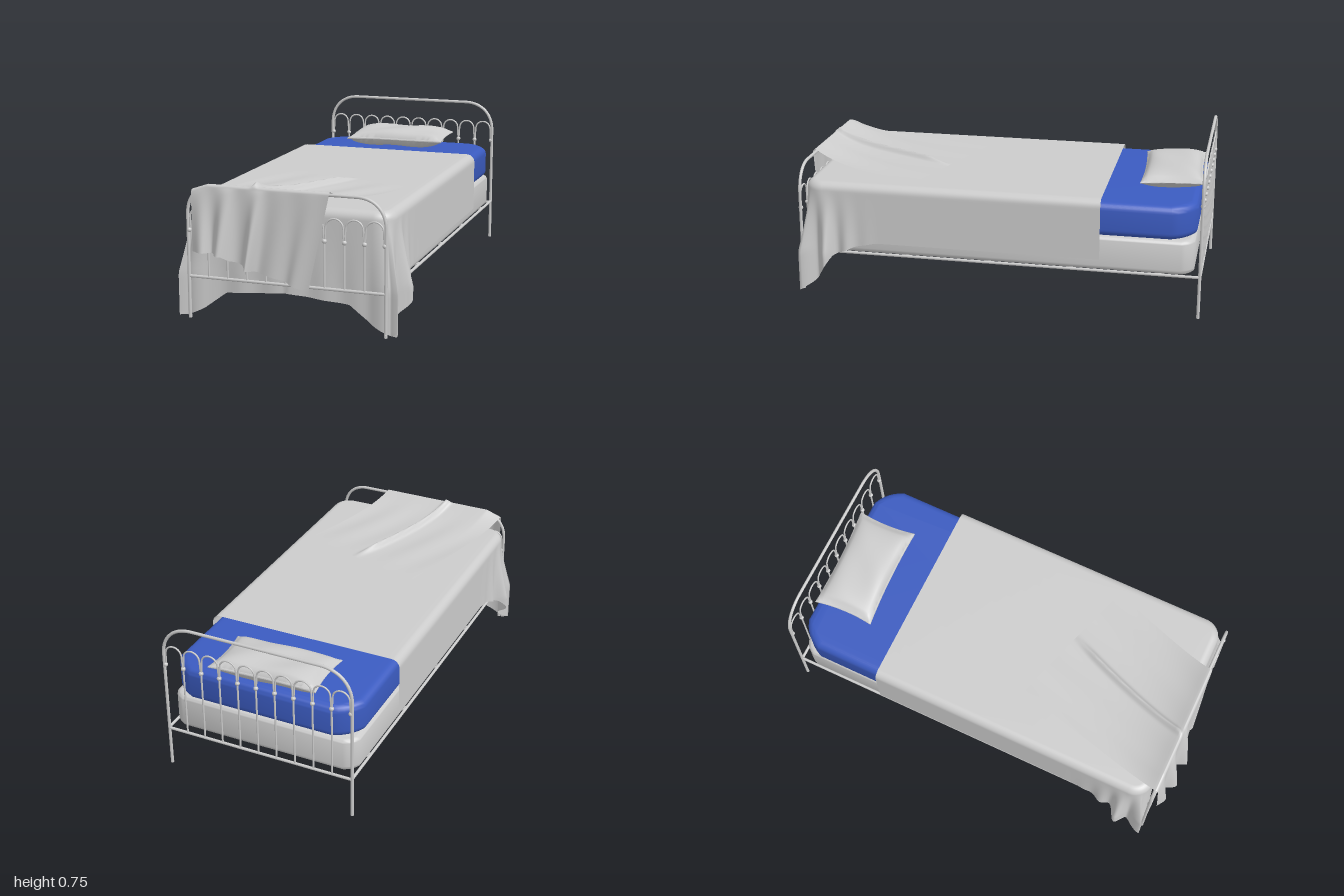
import * as THREE from 'three';
import { mergeVertices, toCreasedNormals } from 'three/addons/utils/BufferGeometryUtils.js';

const grey = new THREE.MeshStandardMaterial({ color: 0xcccccc });
const cloth = new THREE.MeshStandardMaterial({ color: 0xcccccc, side: THREE.DoubleSide });
const blue = new THREE.MeshStandardMaterial({ color: 0x3b5bc0 });
const V = (x, y, z) => new THREE.Vector3(x, y, z);
const lerp = THREE.MathUtils.lerp;
const bump = (x, w) => Math.exp(-(x * x) / (w * w));

function add(parent, name, geometry, material = grey) {
  const mesh = new THREE.Mesh(geometry, material);
  mesh.name = name;
  parent.add(mesh);
  return mesh;
}

// Piecewise linear lookup in [[x, y], ...]
function ramp(points, x) {
  for (let i = 1; i < points.length; i++) {
    const [x0, y0] = points[i - 1], [x1, y1] = points[i];
    if (x <= x1) return lerp(y0, y1, Math.max(0, (x - x0) / (x1 - x0)));
  }
  return points[points.length - 1][1];
}

// Smooth sheet from a rule (u, v) -> point
function sheet(nu, nv, rule) {
  const g = new THREE.PlaneGeometry(1, 1, nu, nv);
  const { position, uv } = g.attributes;
  for (let i = 0; i < position.count; i++) {
    const p = rule(uv.getX(i), uv.getY(i));
    position.setXYZ(i, p.x, p.y, p.z);
  }
  g.computeVertexNormals();
  return g;
}

function rod(parent, name, a, b, r) {
  const m = add(parent, name, new THREE.CylinderGeometry(r, r, a.distanceTo(b), 10));
  m.position.copy(a).add(b).multiplyScalar(0.5);
  m.quaternion.setFromUnitVectors(V(0, 1, 0), b.clone().sub(a).normalize());
  return m;
}

// Hoop frame with a row of arches, rods and balls
function endPanel(name, z, top, corner) {
  const panel = new THREE.Group();
  panel.name = name;
  const X = 0.463, pitch = 0.0915, rail = 0.195, ballY = top - 0.205;
  const hoop = new THREE.CurvePath();
  const k = corner * 0.4;
  hoop.add(new THREE.LineCurve3(V(-X, 0.008, 0), V(-X, top - corner, 0)));
  hoop.add(new THREE.CubicBezierCurve3(V(-X, top - corner, 0), V(-X, top - k, 0), V(-X + k, top, 0), V(-X + corner, top, 0)));
  hoop.add(new THREE.LineCurve3(V(-X + corner, top, 0), V(X - corner, top, 0)));
  hoop.add(new THREE.CubicBezierCurve3(V(X - corner, top, 0), V(X - k, top, 0), V(X, top - k, 0), V(X, top - corner, 0)));
  hoop.add(new THREE.LineCurve3(V(X, top - corner, 0), V(X, 0.008, 0)));
  add(panel, 'hoopFrame', new THREE.TubeGeometry(hoop, 160, 0.0075, 10));
  rod(panel, 'lowerRail', V(-X, rail, 0), V(X, rail, 0), 0.007);
  for (const s of [-1, 1]) rod(panel, 'foot', V(s * X, 0, 0), V(s * X, 0.016, 0), 0.008);

  for (let i = 0; i <= 10; i++) {
    const x = (i - 5) * pitch;
    add(panel, 'ball', new THREE.SphereGeometry(0.011, 14, 10)).position.set(x, ballY, 0);
    if (i > 0 && i < 10) rod(panel, 'spindle', V(x, rail, 0), V(x, ballY, 0), 0.0045);
    if (i === 10) break;
    const c = x + pitch / 2, r = 0.04, spring = ballY + 0.062;
    const pts = [V(x + 0.002, ballY, 0), V(x + 0.004, ballY + 0.03, 0)];
    for (let j = 0; j <= 8; j++) {
      const a = Math.PI * (1 - j / 8);
      pts.push(V(c + r * Math.cos(a), spring + r * Math.sin(a), 0));
    }
    pts.push(V(x + pitch - 0.004, ballY + 0.03, 0), V(x + pitch - 0.002, ballY, 0));
    add(panel, 'arch', new THREE.TubeGeometry(new THREE.CatmullRomCurve3(pts), 36, 0.004, 8));
  }
  panel.position.z = z;
  return panel;
}

// Padded slab with cut corners and soft edges
function slab(hx, z0, z1, y0, y1, cut, bevel) {
  const s = new THREE.Shape(), x = hx - bevel, a = -z1 + bevel, b = -z0 - bevel;
  s.moveTo(-x + cut, a);
  s.lineTo(x - cut, a);
  s.quadraticCurveTo(x - cut * 0.3, a + cut * 0.3, x, a + cut);
  s.lineTo(x, b - cut);
  s.quadraticCurveTo(x - cut * 0.3, b - cut * 0.3, x - cut, b);
  s.lineTo(-x + cut, b);
  s.quadraticCurveTo(-x + cut * 0.3, b - cut * 0.3, -x, b - cut);
  s.lineTo(-x, a + cut);
  s.quadraticCurveTo(-x + cut * 0.3, a + cut * 0.3, -x + cut, a);
  let g = new THREE.ExtrudeGeometry(s, {
    depth: y1 - y0 - 2 * bevel, bevelSize: bevel, bevelThickness: bevel, bevelSegments: 6, curveSegments: 6,
  });
  g.rotateX(-Math.PI / 2).translate(0, y0 + bevel, 0);
  g.deleteAttribute('uv');
  g.deleteAttribute('normal');
  return toCreasedNormals(mergeVertices(g, 1e-5), 0.7);
}

// Bedspread: U-shaped edge path, hem rising to a rounded shoulder, then flat to the centre
function bedspread(u, v) {
  const W = 0.482, F = 0.888, R = 0.09, t = Math.abs(2 * u - 1), s = u < 0.5 ? -1 : 1;
  let x, z, nx = 0, nz = 0, d;
  const half = (R * Math.PI) / 4;
  if (t < 0.25) {
    x = (t / 0.25) * (W - R); z = F; nz = 1; d = W - R - x + half;
  } else if (t < 0.45) {
    const a = ((t - 0.25) / 0.2) * Math.PI / 2;
    nx = Math.sin(a); nz = Math.cos(a);
    x = W - R + R * nx; z = F - R + R * nz; d = Math.abs(a - Math.PI / 4) * R;
  } else {
    const q = Math.pow((t - 0.45) / 0.55, 1.6) * (F - R + 0.53);
    x = W; z = F - R - q; nx = 1; d = q + half;
  }
  const side = nx > nz;
  const hem = side
    ? ramp([[0, 0.005], [0.05, 0.08], [0.12, 0.19], [0.22, 0.235], [0.33, 0.26]], d)
    : ramp([[0, 0.005], [0.07, 0.05], [0.17, 0.125], [0.45, 0.148]], d);
  const top = 0.546, r = 0.04;
  let y, out = 0;
  if (v < 0.6) {
    const k = 1 - v / 0.6;
    y = lerp(top - r, hem, k);
    // Flared folds gather round the foot corners
    const drop = Math.pow(Math.min(1, (top - r - y) / 0.3), 1.2);
    out = side
      ? drop * bump(d, 0.17) * (0.045 + 0.04 * Math.cos(d * 62 + 0.4))
      : drop * bump(d, 0.06) * 0.045 + drop * 0.004 * Math.sin(x * 40 + s);
  } else {
    const a = Math.min(1, (v - 0.6) / 0.2) * Math.PI / 2;
    y = top - r + r * Math.sin(a);
    out = -r * (1 - Math.cos(a));
  }
  x += nx * out;
  z += nz * out;
  if (v > 0.8) {
    const k = (v - 0.8) / 0.2;
    x *= 1 - k;
    z = lerp(z, Math.min(z, 0.5), k);
  }
  return V(s * x, y, z);
}

// Throw: lies on the bed, climbs over the foot hoop and hangs in folds
function throwBlanket(u, v) {
  const bx = lerp(-0.437, 0.21, u), barY = ramp([[0, 0.597], [0.12, 0.624], [1, 0.626]], u);
  if (v < 0.45) {
    const k = 1 - v / 0.45;
    const hem = ramp([[0, 0.32], [0.29, 0.315], [0.33, 0.29], [1, 0.18]], u);
    const folds = bump(u - 0.27, 0.06) * 0.045 + bump(u - 0.5, 0.05) * 0.05 + bump(u - 0.08, 0.06) * 0.025
      + 0.008 * (1 + Math.sin(u * 30));
    const x = lerp(bx, lerp(-0.428, 0.115, u), k) + 0.01 * k * Math.sin(u * Math.PI * 6);
    return V(x, lerp(barY - 0.014, hem, k), 0.925 + folds * Math.pow(k, 0.7) + 0.006 * k);
  }
  const ridge = bump(u - 0.46 - 0.08 * Math.pow((v - 0.45) / 0.55, 2), 0.022);
  if (v < 0.55) {
    const a = ((v - 0.45) / 0.1) * Math.PI / 2;
    return V(bx, barY - 0.014 * (1 - Math.sin(a)) + 0.008 * ridge * Math.sin(a), 0.91 + 0.015 * Math.cos(a));
  }
  const k = (v - 0.55) / 0.45;
  const x = lerp(bx, lerp(-0.245, 0.41, u), k), z = lerp(0.91, lerp(0.15, 0.36, u), k);
  const y = 0.553 + (barY - 0.553) * Math.exp(-(0.91 - z) / 0.13);
  return V(x, y + 0.026 * ridge * Math.min(1, (1 - k) * 5) + 0.003 * Math.sin(u * 22 + z * 5) * k * (1 - k) * 4, z);
}

// Plump pillow with pinched seams and pointed corners
function pillow() {
  const g = new THREE.BoxGeometry(2, 2, 2, 32, 6, 22), p = g.attributes.position;
  for (let i = 0; i < p.count; i++) {
    const x = p.getX(i), y = p.getY(i), z = p.getZ(i);
    const puff = 0.14 + 0.86 * Math.sqrt((1 - x ** 4) * (1 - z ** 4));
    const bulge = 1 - 0.05 * y * y;
    p.setXYZ(i,
      x * 0.262 * bulge * (1 - 0.05 * (1 - z * z)),
      y * 0.046 * puff + 0.004 * Math.sin(x * 5 + z * 3) * puff,
      z * 0.148 * bulge * (1 - 0.07 * (1 - x * x)));
  }
  g.deleteAttribute('uv');
  g.deleteAttribute('normal');
  return toCreasedNormals(mergeVertices(g, 1e-5), 1.2);
}

export function createModel() {
  const bed = new THREE.Group();
  bed.name = 'bed';

  // Metal frame
  bed.add(endPanel('headboard', -0.991, 0.747, 0.15), endPanel('footboard', 0.91, 0.613, 0.13));
  for (const s of [-1, 1]) rod(bed, 'sideRail', V(s * 0.463, 0.2, -0.991), V(s * 0.463, 0.2, 0.91), 0.007);
  for (let i = 0; i < 5; i++) {
    add(bed, 'slat', new THREE.BoxGeometry(0.92, 0.008, 0.03)).position.set(0, 0.199, -0.8 + i * 0.4);
  }

  // Padding
  add(bed, 'boxSpring', slab(0.462, -0.962, 0.875, 0.2, 0.366, 0.04, 0.025));
  add(bed, 'mattress', slab(0.464, -0.966, 0.875, 0.366, 0.527, 0.085, 0.035), blue);

  // Bedding
  add(bed, 'bedspread', sheet(260, 40, bedspread), cloth);
  add(bed, 'throwBlanket', sheet(90, 70, throwBlanket), cloth);
  const p = add(bed, 'pillow', pillow());
  p.position.set(-0.008, 0.573, -0.822);
  p.rotation.set(0.03, 0.04, 0);
  return bed;
}
